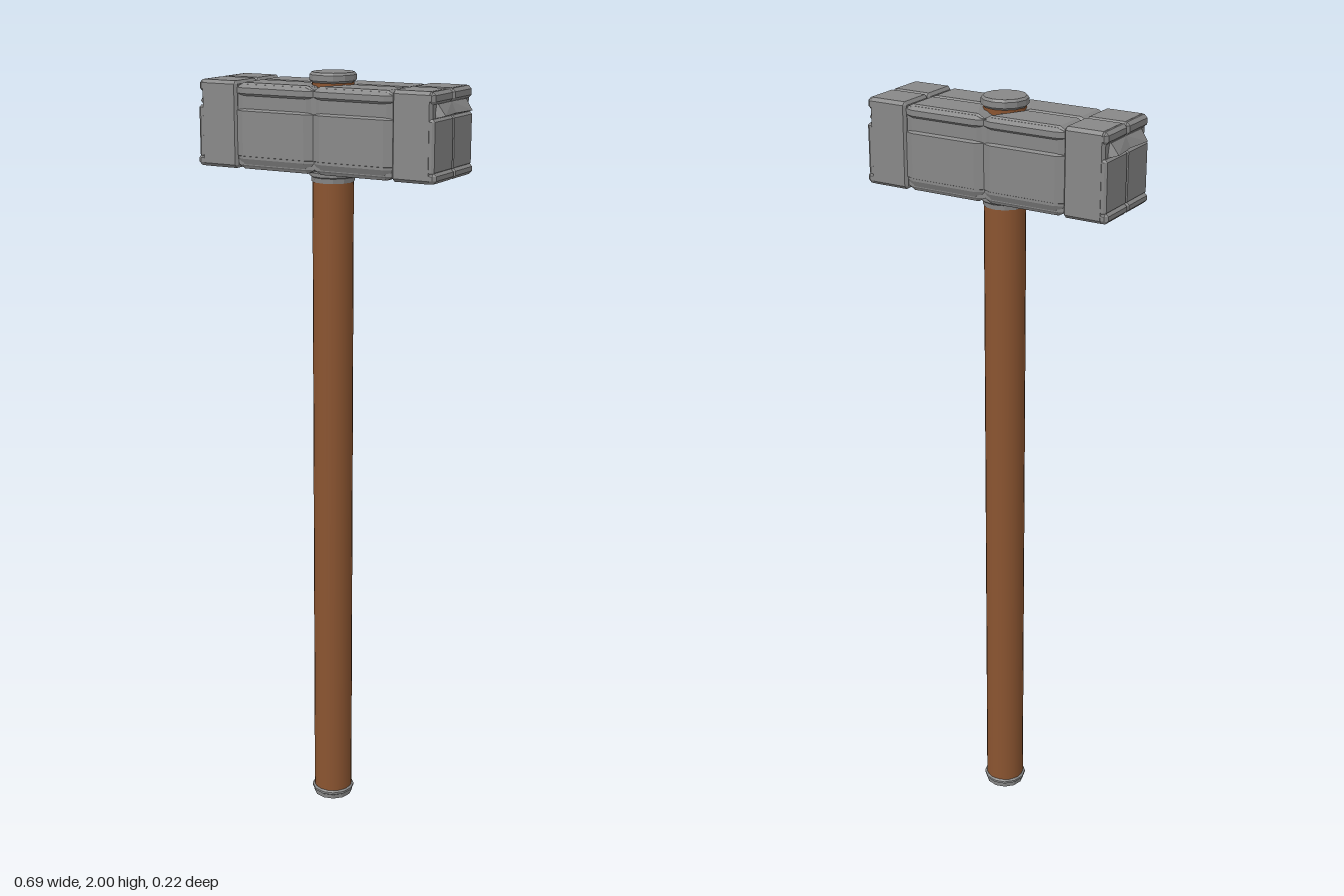
import * as THREE from 'three';
import { ConvexGeometry } from 'three/addons/geometries/ConvexGeometry.js';

const metal = new THREE.MeshStandardMaterial({ color: 0x888888, flatShading: true });
const wood = new THREE.MeshStandardMaterial({ color: 0x8a5430 });

// Corner points of a box with chamfered edges; bevel may differ per axis
function chamferedBox([x0, x1], [y0, y1], [z0, z1], [bx, by, bz]) {
  const pts = [];
  for (const [x, sx] of [[x0, 1], [x1, -1]])
    for (const [y, sy] of [[y0, 1], [y1, -1]])
      for (const [z, sz] of [[z0, 1], [z1, -1]])
        pts.push(
          [x, y + sy * by, z + sz * bz],
          [x + sx * bx, y, z + sz * bz],
          [x + sx * bx, y + sy * by, z]
        );
  return pts;
}

// Repeats a convex piece in all four quarters of the head
function addQuarters(parent, name, pts) {
  const group = new THREE.Group();
  group.name = name;
  for (const sx of [1, -1])
    for (const sz of [1, -1]) {
      const geo = new ConvexGeometry(pts.map(([x, y, z]) => new THREE.Vector3(sx * x, y, sz * z)));
      const mesh = new THREE.Mesh(geo, metal);
      mesh.name = name;
      group.add(mesh);
    }
  parent.add(group);
}

// Metal ring or cap around the handle, turned from a [radius, height] profile
function addCap(parent, name, profile) {
  const geo = new THREE.LatheGeometry(profile.map(([r, y]) => new THREE.Vector2(r, y)), 12);
  const mesh = new THREE.Mesh(geo, metal);
  mesh.name = name;
  parent.add(mesh);
}

export function createModel() {
  const model = new THREE.Group();
  model.name = 'sledgehammer';

  // Handle with its caps
  const handle = new THREE.Mesh(new THREE.CylinderGeometry(0.052, 0.052, 1.97, 24), wood);
  handle.name = 'handle';
  handle.position.y = 1.0;
  model.add(handle);
  addCap(model, 'bottomCap', [[0, 0], [0.053, 0], [0.054, 0.012], [0.058, 0.015], [0.058, 0.021], [0.053, 0.025], [0, 0.025]]);
  addCap(model, 'lowerCollar', [[0, 1.732], [0.054, 1.732], [0.055, 1.744], [0.059, 1.747], [0.059, 1.756], [0.054, 1.762], [0, 1.762]]);
  addCap(model, 'topCap', [[0, 1.975], [0.053, 1.975], [0.058, 1.98], [0.058, 1.994], [0.053, 2], [0, 2]]);

  const head = new THREE.Group();
  head.name = 'head';
  model.add(head);

  // Solid core that closes the grooves
  const core = new THREE.Mesh(new THREE.BoxGeometry(0.63, 0.182, 0.19), metal);
  core.name = 'headCore';
  core.position.y = 1.863;
  head.add(core);

  // Middle of the head: body scooped out around the handle, side panels and rails
  const midX = [0, 0.22];
  const body = chamferedBox(midX, [1.76, 1.972], [0, 0.1], [0.018, 0.01, 0.008])
    .filter(([x, y, z]) => x > 0.03 || y < 1.9 || z > 0.02);
  body.push([0.065, 1.972, 0.008], [0, 1.955, 0.008], [0.018, 1.955, 0]);
  addQuarters(head, 'middleBlock', body);
  addQuarters(head, 'sidePanel', chamferedBox(midX, [1.787, 1.91], [0, 0.108], [0.022, 0.006, 0.01]));
  addQuarters(head, 'upperRail', chamferedBox(midX, [1.938, 1.968], [0, 0.107], [0.022, 0.008, 0.01]));
  addQuarters(head, 'lowerRail', chamferedBox(midX, [1.762, 1.82], [0, 0.107], [0.022, 0.024, 0.012]));

  // Striking ends: smooth-sided block carrying the foot flange, face panel and top edge
  addQuarters(head, 'endBlock', chamferedBox([0.218, 0.323], [1.76, 1.975], [0, 0.105], [0.006, 0.008, 0.008]));
  addQuarters(head, 'endFlange', chamferedBox([0.26, 0.336], [1.761, 1.788], [0, 0.1045], [0.008, 0.008, 0.006]));
  addQuarters(head, 'endPanel', chamferedBox([0.26, 0.331], [1.782, 1.912], [0, 0.1045], [0.006, 0.006, 0.004]));
  addQuarters(head, 'endTopEdge', chamferedBox([0.26, 0.33], [1.944, 1.9745], [0, 0.1045], [0.008, 0.008, 0.008]));

  // Pointed lip over each striking face, deepest towards its outer corners
  addQuarters(head, 'faceLip', [
    [0.31, 1.91, 0], [0.31, 1.945, 0], [0.337, 1.918, 0], [0.324, 1.945, 0],
    [0.31, 1.91, 0.085], [0.31, 1.945, 0.085], [0.33, 1.914, 0.083],
    [0.345, 1.918, 0.073], [0.326, 1.945, 0.076]
  ]);

  return model;
}
